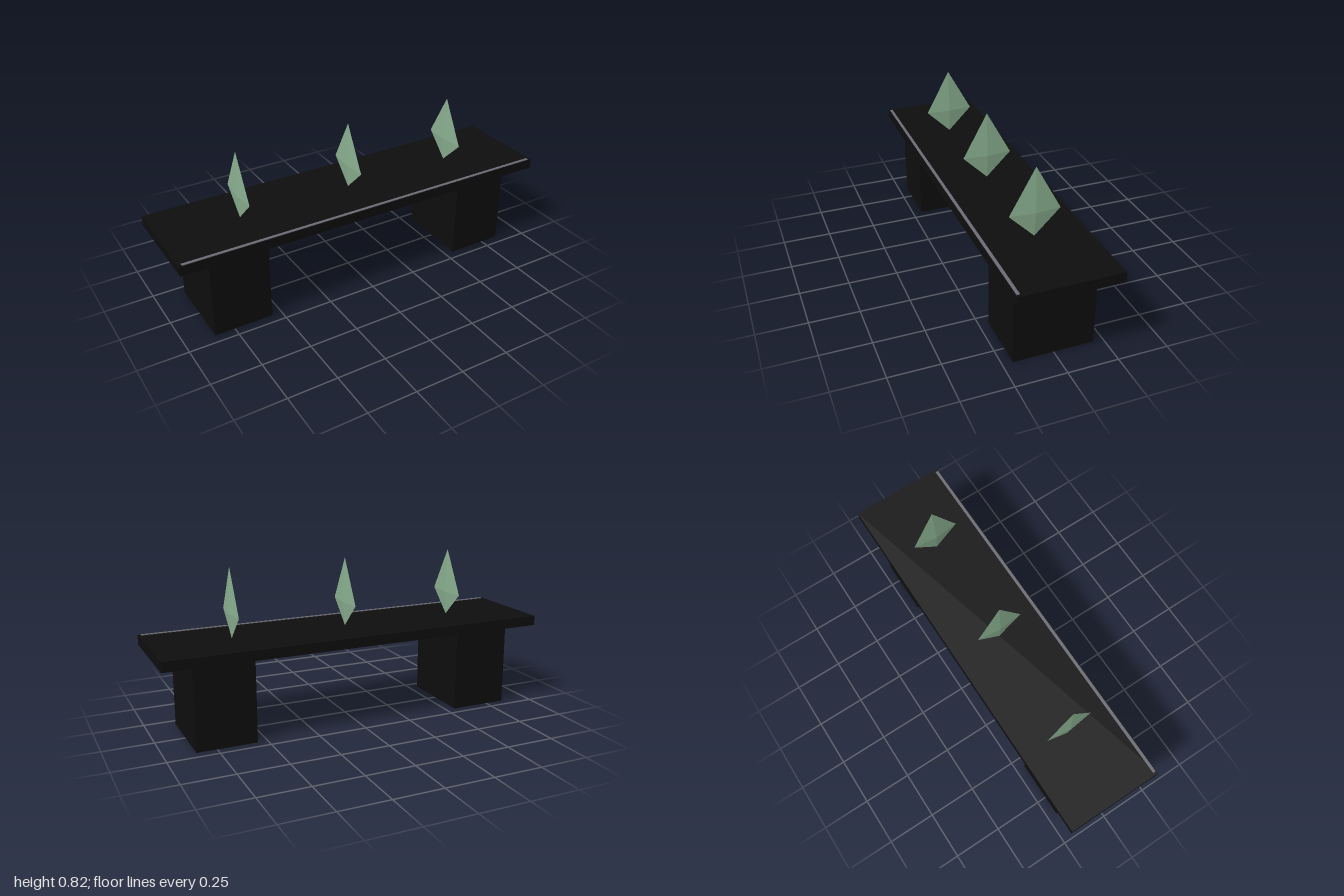
import * as THREE from 'three';

export function createModel() {
  const group = new THREE.Group();
  const material = (name, color) => {
    const m = new THREE.MeshStandardMaterial({ color });
    m.name = name;
    return m;
  };
  const black = material('black', 0x0d0d0d);
  const grey = material('stripGrey', 0x6b6b75);
  const green = material('crystalGreen', 0x88ad8e);
  green.flatShading = true;

  const add = (name, geometry, mat, x, y, z) => {
    const mesh = new THREE.Mesh(geometry, mat);
    mesh.name = name;
    mesh.position.set(x, y, z);
    group.add(mesh);
    return mesh;
  };

  // Slab and its two block legs
  add('tabletop', new THREE.BoxGeometry(2, 0.05, 0.5), black, 0, 0.447, 0);
  for (const [side, x] of [['left', 0.7], ['right', -0.7]]) {
    add(side + 'Leg', new THREE.BoxGeometry(0.3, 0.422, 0.4), black, x, 0.211, 0);
  }

  // Thin trim strip along the front edge
  add('trimStrip', new THREE.BoxGeometry(1.97, 0.008, 0.015), grey, 0, 0.471, 0.238);

  // Flattened four-sided crystals standing on their points
  const profile = [[0, 0], [0.125, 0.123], [0, 0.35]].map(p => new THREE.Vector2(...p));
  const crystal = new THREE.LatheGeometry(profile, 4).scale(0.1, 1, 1);
  for (const [name, x] of [['right', -0.6], ['middle', 0], ['left', 0.6]]) {
    add(name + 'Crystal', crystal, green, x, 0.472, 0);
  }

  return group;
}
